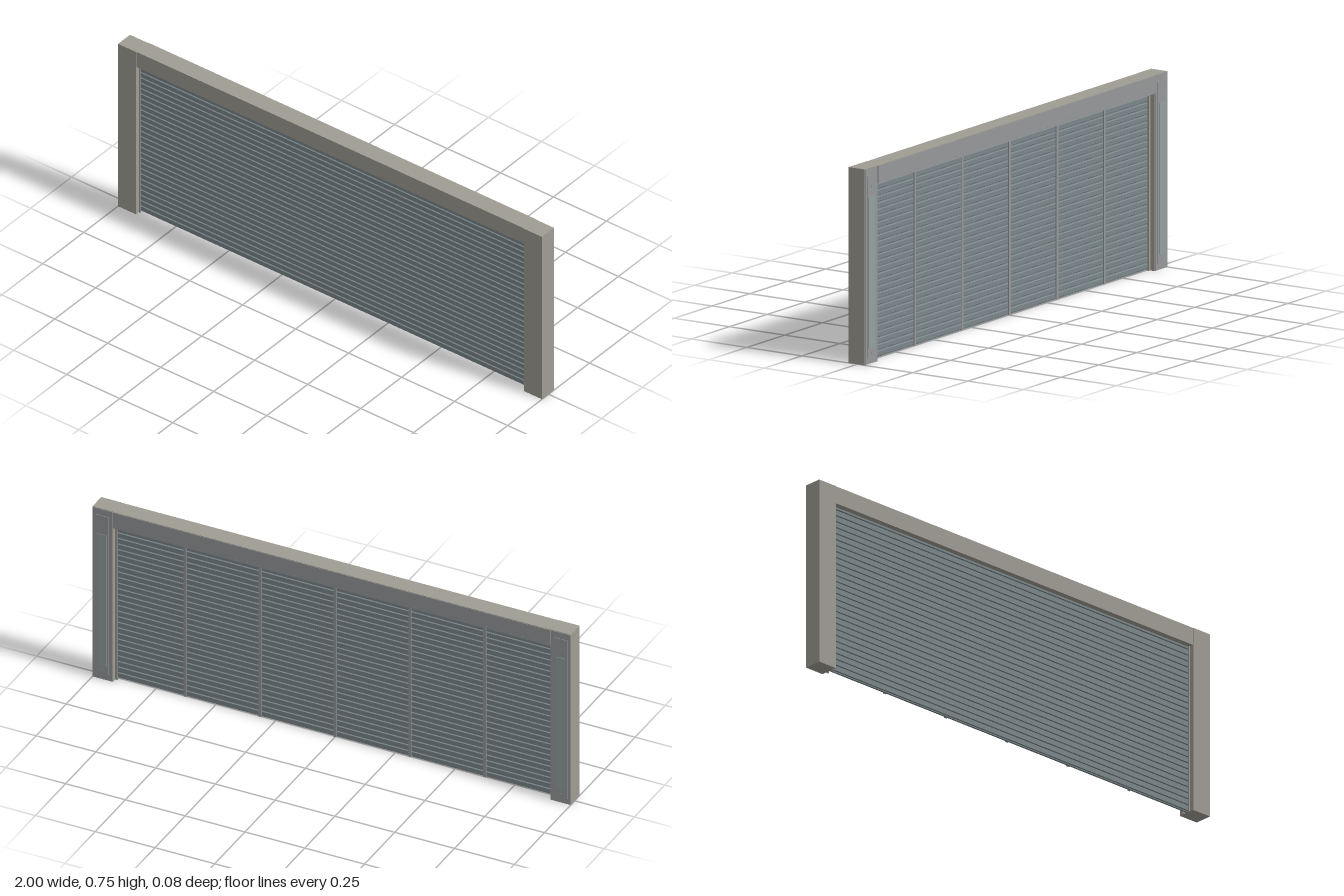
import * as THREE from 'three';

const paint = (color) => new THREE.MeshStandardMaterial({ color });
const shell = paint(0x9f9c93);
const steel = paint(0x96989a);
const slatPaint = paint(0x7b878b);
const coverPaint = paint(0x93a09f);

// Box given by its minimum and maximum corners
function box(parent, name, material, [x0, y0, z0], [x1, y1, z1]) {
  const mesh = new THREE.Mesh(new THREE.BoxGeometry(x1 - x0, y1 - y0, z1 - z0), material);
  mesh.position.set((x0 + x1) / 2, (y0 + y1) / 2, (z0 + z1) / 2);
  mesh.name = name;
  parent.add(mesh);
  return mesh;
}

// Side post with guide channel lip and rear cover; side is +1 or -1
function sidePost(side) {
  const post = new THREE.Group();
  post.name = side > 0 ? 'leftPost' : 'rightPost';
  const part = (name, material, x0, x1, y0, y1, z0, z1) =>
    box(post, name, material,
      [Math.min(side * x0, side * x1), y0, z0], [Math.max(side * x0, side * x1), y1, z1]);
  part('postShell', shell, 0.915, 1, 0, 0.75, -0.033, 0.04);
  part('postBack', steel, 0.917, 0.998, 0.002, 0.748, -0.035, -0.033);
  part('rearCover', steel, 0.932, 0.987, 0.025, 0.722, -0.037, -0.035);
  part('coverInsert', coverPaint, 0.94, 0.979, 0.06, 0.64, -0.0385, -0.037);
  // Guide lips in front of and behind the curtain
  part('frontGuide', shell, 0.909, 0.915, 0, 0.68, 0.016, 0.022);
  part('rearGuide', shell, 0.905, 0.915, 0, 0.68, -0.014, -0.008);
  // Cover screws
  for (const y of [0.04, 0.68]) {
    const screw = new THREE.Mesh(new THREE.CylinderGeometry(0.004, 0.004, 0.002, 10), steel);
    screw.rotation.x = Math.PI / 2;
    screw.position.set(side * 0.96, y, -0.0375);
    screw.name = 'coverScrew';
    post.add(screw);
  }
  return post;
}

// Curtain of interlocking slats, extruded from one side profile
function slatCurtain() {
  const count = 28, pitch = 0.69 / count, front = 0.014, back = -0.002, groove = 0.004;
  const frontEdge = [], backEdge = [];
  for (let i = 0; i < count; i++) {
    const y = i * pitch;
    for (const [t, inset] of [[0, groove], [0.14, groove], [0.24, 0], [0.9, 0], [0.999, groove]]) {
      frontEdge.push(new THREE.Vector2(front - inset, y + t * pitch));
      backEdge.push(new THREE.Vector2(back + inset, y + t * pitch));
    }
  }
  const profile = new THREE.Shape([...frontEdge, ...backEdge.reverse()]);
  const geometry = new THREE.ExtrudeGeometry(profile, { depth: 1.83, bevelEnabled: false });
  // Profile x becomes depth z, extrusion runs along x
  geometry.rotateY(-Math.PI / 2);
  geometry.translate(0.915, 0.001, 0);
  const mesh = new THREE.Mesh(geometry, slatPaint);
  mesh.name = 'slatCurtain';
  return mesh;
}

export function createModel() {
  const model = new THREE.Group();
  model.name = 'rollerShutter';
  model.add(sidePost(1), sidePost(-1));

  // Header beam with rear plate
  box(model, 'header', shell, [-0.915, 0.68, -0.035], [0.915, 0.75, 0.0385]);
  box(model, 'headerRearPlate', steel, [-0.915, 0.68, -0.037], [0.915, 0.748, -0.035]);
  const rivet = new THREE.CylinderGeometry(0.002, 0.002, 0.001, 6).rotateX(Math.PI / 2);
  for (let i = 0; i < 37; i++) {
    const mesh = new THREE.Mesh(rivet, steel);
    mesh.position.set(-0.9 + i * 0.05, 0.688, -0.0375);
    mesh.name = 'headerRivet';
    model.add(mesh);
  }

  model.add(slatCurtain());

  // Vertical straps behind the curtain
  for (let i = -2; i <= 2; i++) {
    const x = i * 0.313;
    box(model, 'rearStrap', steel, [x - 0.006, 0.002, -0.006], [x + 0.006, 0.68, -0.002]);
  }
  return model;
}
